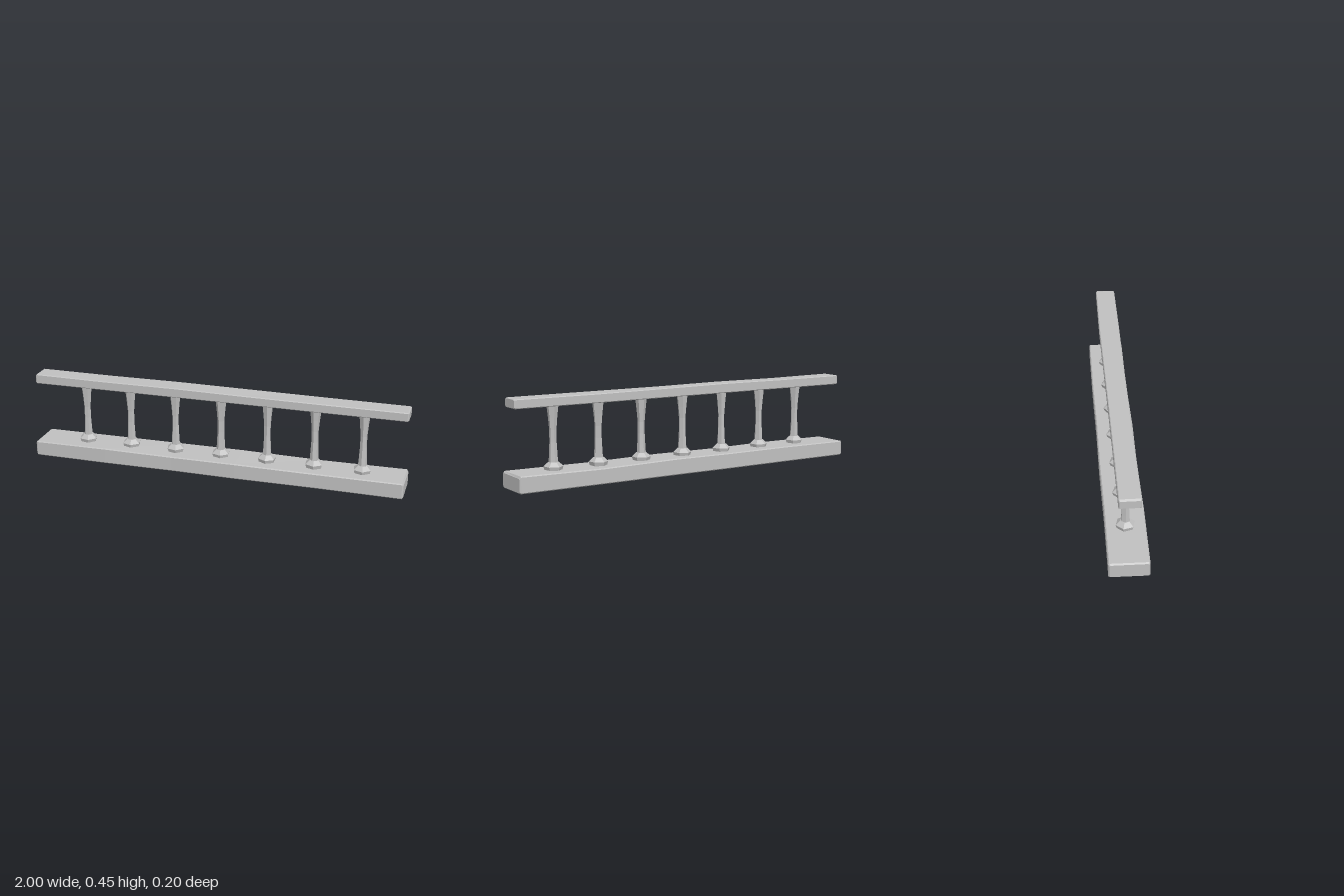
import * as THREE from 'three';

// Small seeded generator for hand-hewn unevenness, range -1..1
function makeRandom(seed) {
  let s = seed;
  return () => {
    s = (s * 16807) % 2147483647;
    return (s / 2147483647) * 2 - 1;
  };
}

// Long chamfered beam, built from slightly uneven cross-sections along x
function beamGeometry(y0, y1, halfDepth, bevel, wobble, seed) {
  const rnd = makeRandom(seed);
  const stations = [-1, -0.993, -0.6, -0.22, 0.12, 0.55, 0.993, 1];
  const last = stations.length - 1;
  const positions = [];
  const index = [];
  stations.forEach((x, i) => {
    const end = i === 0 || i === last;
    const inset = end ? bevel : 0;
    const top = y1 - inset - Math.abs(rnd()) * wobble;
    const bottom = y0 + inset;
    const back = -halfDepth + inset + Math.abs(rnd()) * wobble;
    const front = halfDepth - inset - Math.abs(rnd()) * wobble;
    const tilt = rnd() * wobble * 0.4;
    const b = bevel;
    const ring = [
      [back + b, bottom], [back, bottom + b],
      [back, top - b - tilt], [back + b, top - tilt],
      [front - b, top], [front, top - b],
      [front, bottom + b], [front - b, bottom],
    ];
    ring.forEach(([z, y]) => positions.push(x, y, z));
  });
  const n = 8;
  for (let i = 0; i < last; i++) {
    for (let j = 0; j < n; j++) {
      const a = i * n + j;
      const b = i * n + ((j + 1) % n);
      index.push(a, b, a + n, b, b + n, a + n);
    }
  }
  // End caps
  for (let j = 1; j < n - 1; j++) {
    index.push(0, j + 1, j);
    index.push(last * n, last * n + j, last * n + j + 1);
  }
  const geometry = new THREE.BufferGeometry();
  geometry.setAttribute('position', new THREE.Float32BufferAttribute(positions, 3));
  geometry.setIndex(index);
  geometry.computeVertexNormals();
  return geometry;
}

function latheFrom(profile) {
  return new THREE.LatheGeometry(profile.map(([r, y]) => new THREE.Vector2(r, y)), 6);
}

export function createModel() {
  const model = new THREE.Group();
  model.name = 'balustrade';
  const stone = new THREE.MeshStandardMaterial({ color: 0xc0c0c0 });
  stone.name = 'pale grey stone';
  stone.flatShading = true;

  const add = (parent, name, geometry) => {
    const mesh = new THREE.Mesh(geometry, stone);
    mesh.name = name;
    parent.add(mesh);
    return mesh;
  };

  add(model, 'basePlinth', beamGeometry(0, 0.085, 0.1, 0.005, 0.005, 17));
  add(model, 'topRail', beamGeometry(0.4, 0.452, 0.056, 0.004, 0.005, 91));

  // Waisted shaft and flared foot shared by every baluster
  const shaft = latheFrom([
    [0.024, 0.112], [0.021, 0.16], [0.018, 0.22], [0.018, 0.28],
    [0.023, 0.34], [0.029, 0.395], [0.029, 0.405],
  ]);
  const foot = latheFrom([[0.043, 0.076], [0.049, 0.1], [0.026, 0.121], [0, 0.121]]);

  const rnd = makeRandom(45);
  for (let i = 0; i < 7; i++) {
    const baluster = new THREE.Group();
    baluster.name = `baluster${i + 1}`;
    baluster.position.x = -0.729 + i * 0.2507;
    add(baluster, 'shaft', shaft).rotation.y = rnd() * 0.5;
    add(baluster, 'foot', foot).rotation.y = 0.15 + rnd() * 0.15;
    model.add(baluster);
  }
  return model;
}
